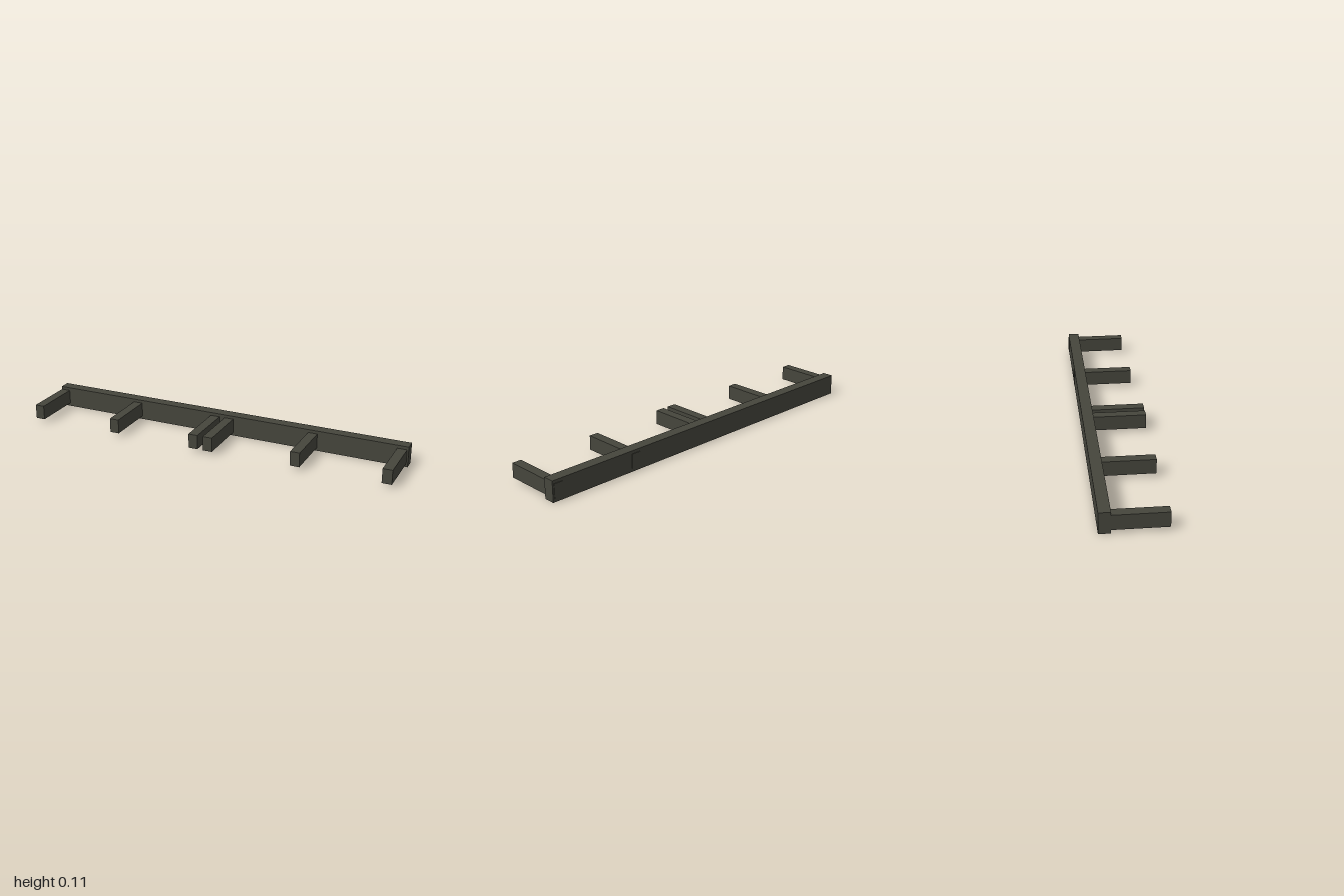
import * as THREE from 'three';

export function createModel() {
  const group = new THREE.Group();
  const darkOlive = new THREE.MeshStandardMaterial({ color: 0x45453c });
  darkOlive.name = 'darkOlive';

  // Box given by its extents on each axis
  function block(name, [x0, x1], [y0, y1], [z0, z1]) {
    const mesh = new THREE.Mesh(new THREE.BoxGeometry(x1 - x0, y1 - y0, z1 - z0), darkOlive);
    mesh.name = name;
    mesh.position.set((x0 + x1) / 2, (y0 + y1) / 2, (z0 + z1) / 2);
    group.add(mesh);
  }

  // Long beam along the back
  block('rail', [-1, 1], [0, 0.109], [-0.164, -0.106]);

  // Arms let into the beam: centre x and front z; the +x pair pokes through the back
  const arms = [
    [-0.974, 0.158], [-0.511, 0.158],
    [-0.047, 0.167], [0.034, 0.167],
    [0.501, 0.151], [0.967, 0.151],
  ];
  const length = 0.318;
  arms.forEach(([x, front], i) => {
    block(`arm${i + 1}`, [x - 0.025, x + 0.025], [0.017, 0.093], [front - length, front]);
  });

  return group;
}
